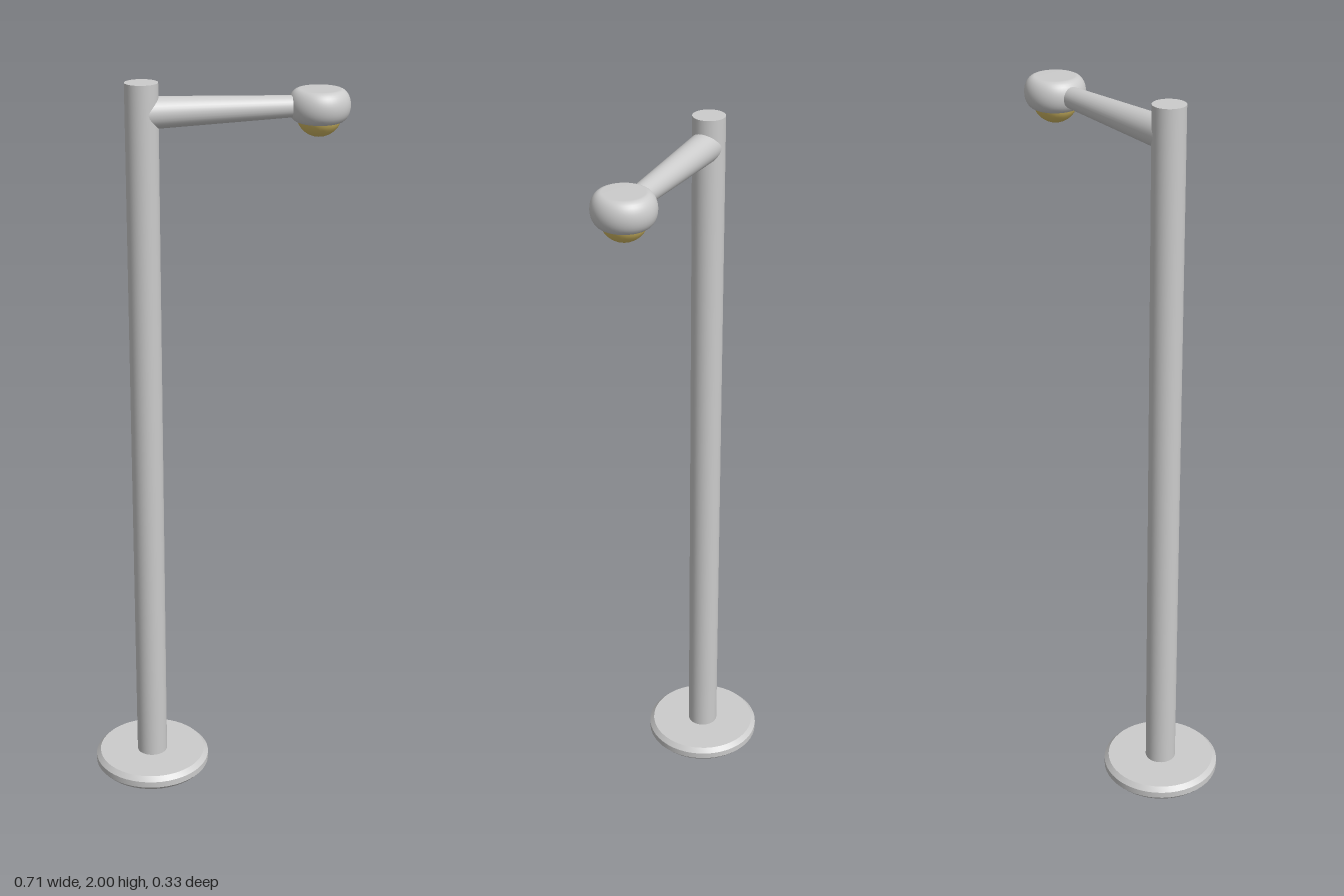
import * as THREE from 'three';
import { toCreasedNormals } from 'three/addons/utils/BufferGeometryUtils.js';

const POLE_X = -0.19, HEAD_X = 0.273, ARM_Y = 1.923;
const grey = new THREE.MeshStandardMaterial({ color: 0xcccccc });
const glow = new THREE.MeshStandardMaterial({ color: 0xd6bd66 });

function lathe(points, segments = 48) {
  return new THREE.LatheGeometry(points.map(([r, y]) => new THREE.Vector2(r, y)), segments);
}

export function createModel() {
  const group = new THREE.Group();
  const add = (name, geometry, material, x, y) => {
    const mesh = new THREE.Mesh(geometry, material);
    mesh.name = name;
    mesh.position.set(x, y, 0);
    group.add(mesh);
    return mesh;
  };

  // Bevelled round foot
  const foot = lathe([[0, 0], [0.153, 0], [0.164, 0.012], [0.164, 0.03], [0.152, 0.043], [0, 0.043]]);
  add('base', toCreasedNormals(foot, 0.5), grey, POLE_X, 0);

  // Upright pole
  add('pole', new THREE.CylinderGeometry(0.043, 0.043, 1.97, 40), grey, POLE_X, 1.015);

  // Tapered arm from the pole into the lamp head
  const armStart = POLE_X, armEnd = 0.23;
  const arm = add('arm', new THREE.CylinderGeometry(0.027, 0.042, armEnd - armStart, 32),
    grey, (armStart + armEnd) / 2, ARM_Y);
  arm.rotation.z = -Math.PI / 2;

  // Lamp head: flattened top and bottom with a full round side
  const profile = [[0, -0.042]];
  for (let i = 0; i <= 16; i++) {
    const a = -Math.PI / 2 + (Math.PI * i) / 16;
    profile.push([0.053 + 0.028 * Math.cos(a), 0.042 * Math.sin(a)]);
  }
  profile.push([0, 0.042]);
  add('lampHead', lathe(profile), grey, HEAD_X, ARM_Y);

  // Bulb hanging below the head
  add('bulb', new THREE.SphereGeometry(0.06, 32, 20), glow, HEAD_X, 1.902);

  return group;
}
